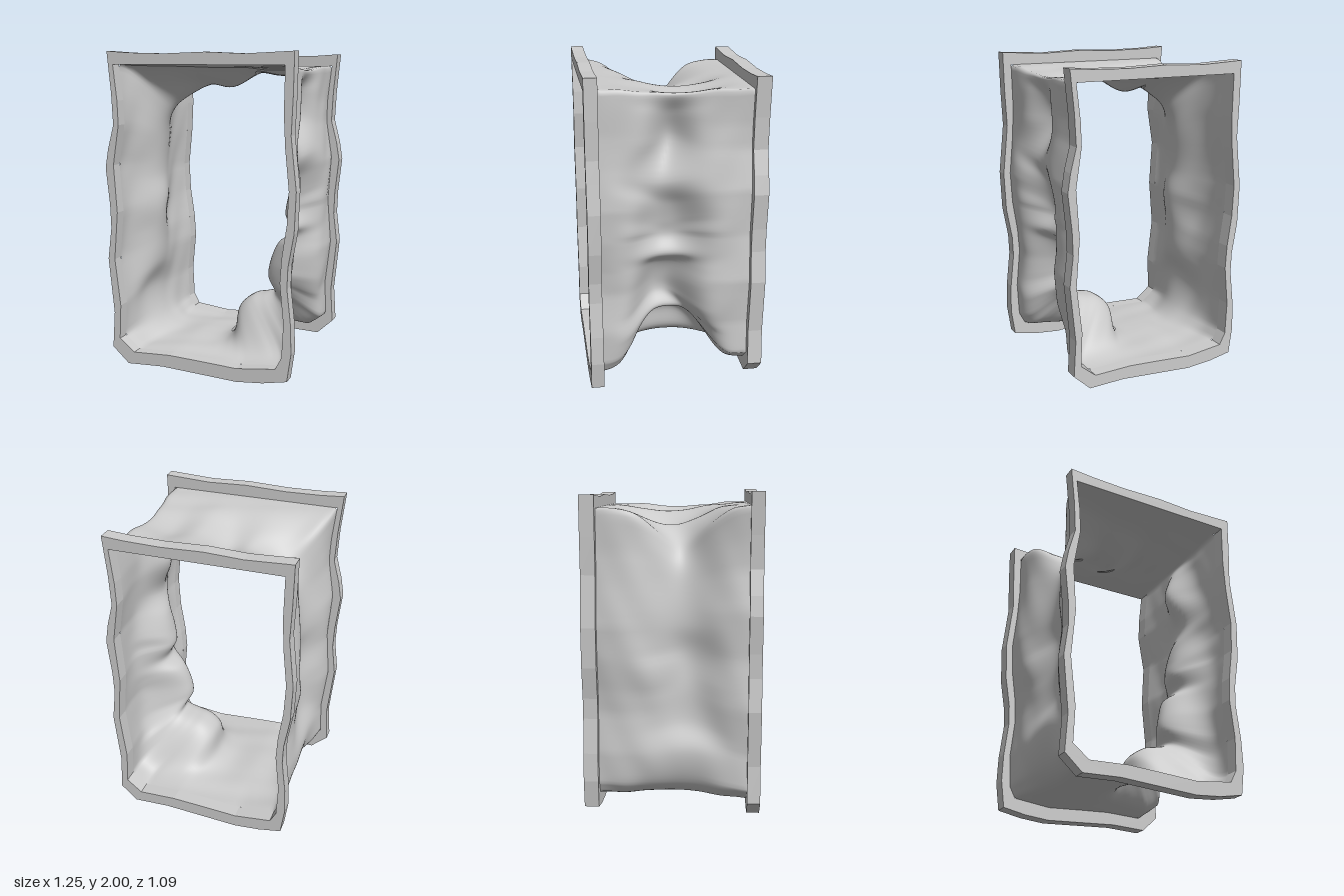
import * as THREE from 'three';

const material = new THREE.MeshStandardMaterial({ color: 0xcccccc });
const skinMaterial = new THREE.MeshStandardMaterial({ color: 0xcccccc, side: THREE.DoubleSide });

// Wavy frame outline and opening, counter-clockwise from the cut lower corner
const frontOuter = [
  [-0.49, 0.02], [-0.25, 0.03], [0, 0.015], [0.25, 0], [0.42, 0.015], [0.575, 0.045],
  [0.6, 0.22], [0.595, 0.4], [0.57, 0.62], [0.575, 0.75], [0.61, 0.95], [0.62, 1.2],
  [0.6, 1.38], [0.585, 1.52], [0.595, 1.75], [0.6, 2],
  [0.3, 1.985], [0.05, 1.995], [-0.22, 1.985], [-0.45, 1.99], [-0.6, 2],
  [-0.575, 1.75], [-0.565, 1.55], [-0.605, 1.4], [-0.625, 1.28], [-0.6, 1.05],
  [-0.595, 0.9], [-0.62, 0.7], [-0.6, 0.5], [-0.585, 0.35], [-0.6, 0.12],
];
const frontInner = [
  [-0.45, 0.1], [-0.2, 0.11], [0, 0.1], [0.25, 0.085], [0.5, 0.115], [0.54, 0.19],
  [0.55, 0.4], [0.525, 0.65], [0.535, 0.8], [0.565, 1], [0.575, 1.2], [0.55, 1.45],
  [0.54, 1.65], [0.545, 1.92], [-0.56, 1.92], [-0.535, 1.7], [-0.53, 1.55],
  [-0.57, 1.3], [-0.55, 1], [-0.575, 0.7], [-0.54, 0.4], [-0.55, 0.18],
];
// The back frame is the same outline turned half way round, a touch smaller
const turn = (points) => points.map(([x, y]) => [0.012 - 0.96 * x, 0.02 + 0.98 * y]).reverse();
const backOuter = turn(frontOuter), backInner = turn(frontInner);
const frontZ = 0.46, backZ = -0.455;

// Tunnel control points: on a plain rectangle, and at the narrowest section
const rim = [
  [-0.45, 0.1], [-0.2, 0.1], [0, 0.1], [0.15, 0.1], [0.3, 0.1], [0.45, 0.1], [0.55, 0.12],
  [0.55, 0.3], [0.55, 0.48], [0.55, 0.65], [0.55, 0.78], [0.55, 0.88], [0.55, 1.01], [0.55, 1.14],
  [0.55, 1.25], [0.55, 1.4], [0.55, 1.6], [0.55, 1.78], [0.55, 1.92],
  [0.35, 1.92], [0.18, 1.92], [0, 1.92], [-0.2, 1.92], [-0.42, 1.92], [-0.55, 1.92], [-0.55, 1.75],
  [-0.55, 1.45], [-0.55, 1.2], [-0.55, 1.0], [-0.55, 0.75], [-0.55, 0.5], [-0.55, 0.32], [-0.55, 0.15],
];
const waist = [
  [-0.38, 0.125], [-0.2, 0.13], [-0.02, 0.13], [0.07, 0.19], [0.1, 0.35], [0.18, 0.42], [0.26, 0.44],
  [0.34, 0.47], [0.3, 0.57], [0.31, 0.66], [0.36, 0.79], [0.45, 0.87], [0.405, 0.98], [0.42, 1.08],
  [0.45, 1.2], [0.5, 1.35], [0.41, 1.6], [0.46, 1.76], [0.52, 1.88],
  [0.35, 1.845], [0.18, 1.86], [0, 1.77], [-0.14, 1.785], [-0.27, 1.72], [-0.36, 1.65], [-0.415, 1.56],
  [-0.45, 1.4], [-0.465, 1.2], [-0.44, 1.03], [-0.46, 0.8], [-0.475, 0.6], [-0.535, 0.42], [-0.48, 0.21],
];
// Each dent: depth (z) of its middle, half width, and how flat its floor is
const dent = [
  [0, 0.3, 2], [0, 0.3, 2], [0, 0.28, 2], [0.02, 0.29, 2.4], [0.02, 0.28, 2.8], [0.02, 0.27, 3], [0.02, 0.26, 3],
  [0.02, 0.23, 3], [0.07, 0.18, 2.4], [0.07, 0.17, 2.4], [0.05, 0.18, 2.4], [0.04, 0.21, 2.4], [0.04, 0.2, 2.4],
  [0.04, 0.2, 2.4], [0.05, 0.18, 2.2], [0.1, 0.17, 2], [0.03, 0.12, 2], [0.02, 0.12, 2], [0, 0.2, 2],
  [-0.06, 0.25, 2], [-0.06, 0.26, 2], [-0.05, 0.26, 2], [-0.02, 0.25, 2], [0.03, 0.23, 2], [0.05, 0.2, 2],
  [0.06, 0.21, 2], [0.06, 0.23, 2], [0.06, 0.24, 2], [0.08, 0.22, 2], [0.08, 0.22, 2], [0.08, 0.25, 2],
  [0.1, 0.25, 2], [0.05, 0.28, 2],
];

const loop = (points) => new THREE.CatmullRomCurve3(
  points.map(([a, b, c = 0]) => new THREE.Vector3(a, b, c)), true, 'centripetal');
const vectors = (points) => points.map(([x, y]) => new THREE.Vector2(x, y));

// Slides a point along its ray from the tunnel's axis onto a frame opening
function ontoOpening(point, opening) {
  const dx = point.x, dy = point.y - 1;
  for (let k = 0; k < opening.length; k++) {
    const [ax, ay] = opening[k], [bx, by] = opening[(k + 1) % opening.length];
    const ex = bx - ax, ey = by - ay;
    const cross = dx * ey - dy * ex;
    const t = (ax * ey - (ay - 1) * ex) / cross;
    const v = (ax * dy - (ay - 1) * dx) / cross;
    if (t > 0 && v >= 0 && v <= 1) return new THREE.Vector3(dx * t, 1 + dy * t, 0);
  }
  return point.clone();
}

function makeFrame(name, outer, inner, z, depth) {
  const shape = new THREE.Shape(vectors(outer));
  shape.holes.push(new THREE.Path(vectors(inner)));
  const geometry = new THREE.ExtrudeGeometry(shape, { depth, bevelEnabled: false });
  const mesh = new THREE.Mesh(geometry, material);
  mesh.name = name;
  mesh.position.z = z;
  return mesh;
}

// Thin skin lofted between the openings, pulled inwards by the dents
function makeTunnel() {
  const around = 220, along = 50;
  const rimLoop = loop(rim), waistLoop = loop(waist), dentLoop = loop(dent);
  const strands = Array.from({ length: around }, (_, i) => {
    const u = i / around, r = rimLoop.getPoint(u);
    return {
      front: ontoOpening(r, frontInner), back: ontoOpening(r, backInner),
      waist: waistLoop.getPoint(u), dent: dentLoop.getPoint(u),
    };
  });
  const positions = [], indices = [];
  for (let j = 0; j <= along; j++) {
    const t = j / along;
    const z = THREE.MathUtils.lerp(backZ, frontZ, t);
    const fade = 1 - Math.pow(2 * t - 1, 4);
    strands.forEach(({ front, back, waist: w, dent: d }, i) => {
      const pull = fade * Math.exp(-Math.pow(Math.abs(z - d.x) / d.y, d.z));
      const p = back.clone().lerp(front, t).lerp(w, pull);
      // Where it is not dented the skin rumples, and its sides swell a little
      const loose = fade * (1 - pull);
      const rumple = 0.012 * loose * Math.sin(p.y * 13 + z * 9) * Math.cos(z * 13 + p.x * 7);
      const swell = 0.04 * loose * Math.sin(Math.PI * p.y / 2);
      p.x *= 1 - rumple + swell;
      p.y += (1 - p.y) * rumple;
      positions.push(p.x, p.y, z);
      if (j < along) {
        const a = j * around + i, b = j * around + (i + 1) % around;
        indices.push(a, b, b + around, a, b + around, a + around);
      }
    });
  }
  const geometry = new THREE.BufferGeometry();
  geometry.setAttribute('position', new THREE.Float32BufferAttribute(positions, 3));
  geometry.setIndex(indices);
  geometry.computeVertexNormals();
  const mesh = new THREE.Mesh(geometry, skinMaterial);
  mesh.name = 'tunnelSkin';
  return mesh;
}

export function createModel() {
  const model = new THREE.Group();
  model.name = 'tunnelSection';
  model.add(
    makeFrame('frontFrame', frontOuter, frontInner, frontZ, 0.08),
    makeFrame('backFrame', backOuter, backInner, backZ - 0.09, 0.09),
    makeTunnel(),
  );
  return model;
}
